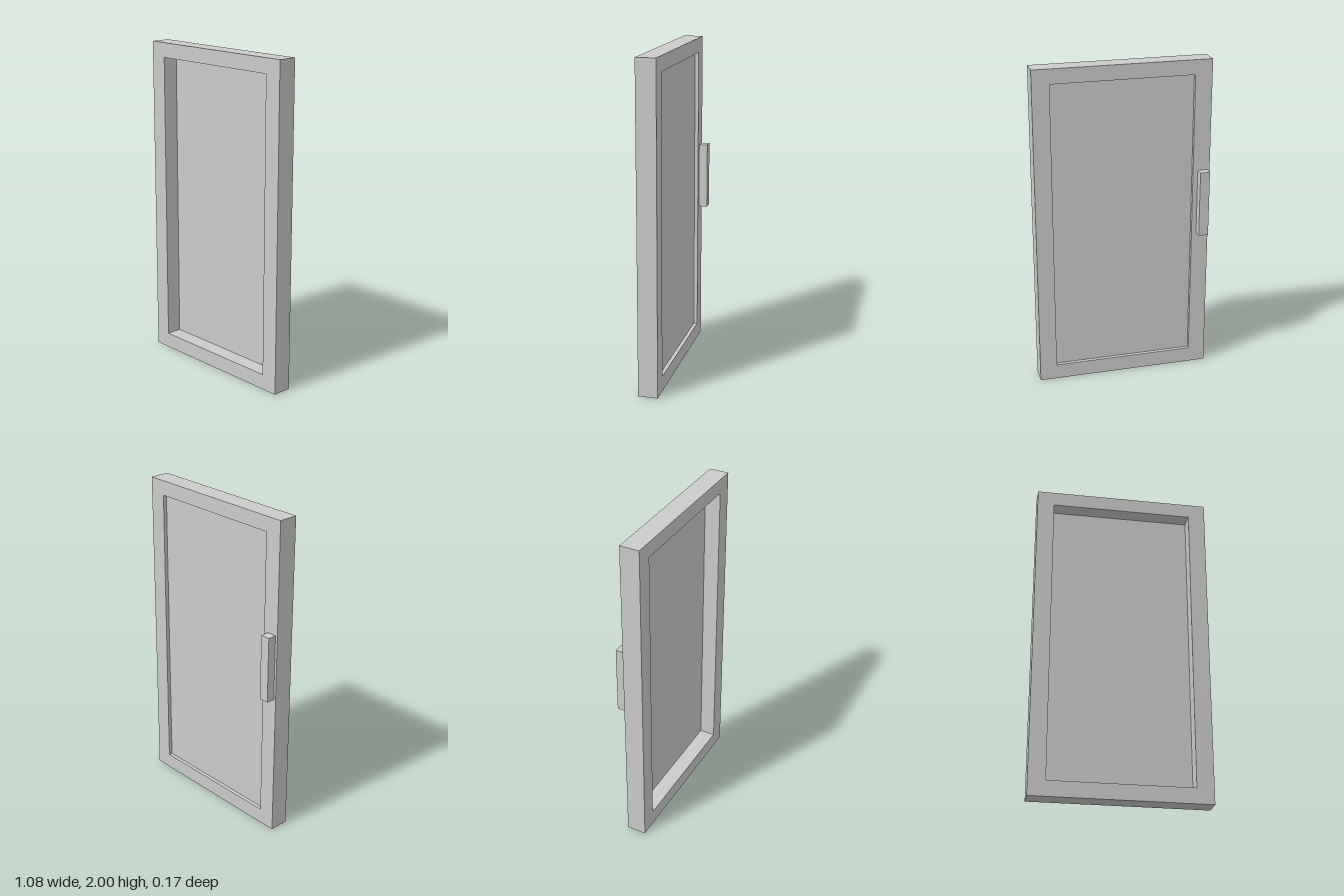
import * as THREE from 'three';

const W = 1.08, H = 2, DEPTH = 0.12, BACK = -0.035;
const OPEN_X = 0.435, OPEN_Y0 = 0.095, OPEN_Y1 = 1.91;

// Closed rectangle outline as a list of points
function rect(x0, y0, x1, y1) {
  return [[x0, y0], [x1, y0], [x1, y1], [x0, y1]].map(([x, y]) => new THREE.Vector2(x, y));
}

export function createModel() {
  const group = new THREE.Group();
  group.name = 'cabinetDoor';
  const material = new THREE.MeshStandardMaterial({ color: 0xcccccc });

  function add(name, geometry, x, y, z, mat = material) {
    const mesh = new THREE.Mesh(geometry, mat);
    mesh.name = name;
    mesh.position.set(x, y, z);
    group.add(mesh);
  }

  // Frame with a rectangular opening
  const outline = new THREE.Shape(rect(-W / 2, 0, W / 2, H));
  outline.holes.push(new THREE.Path(rect(-OPEN_X, OPEN_Y0, OPEN_X, OPEN_Y1)));
  add('frame', new THREE.ExtrudeGeometry(outline, { depth: DEPTH, bevelEnabled: false }), 0, 0, BACK);

  // Thin inset panel, set close to the back of the frame
  const sheet = new THREE.MeshStandardMaterial({ color: 0xcccccc, side: THREE.DoubleSide });
  add('panel', new THREE.PlaneGeometry(2 * OPEN_X, OPEN_Y1 - OPEN_Y0),
    0, (OPEN_Y0 + OPEN_Y1) / 2, -0.012, sheet);

  // Handle block on the back
  add('handle', new THREE.BoxGeometry(0.06, 0.41, 0.053), -0.495, 1.11, BACK - 0.0265);

  return group;
}
